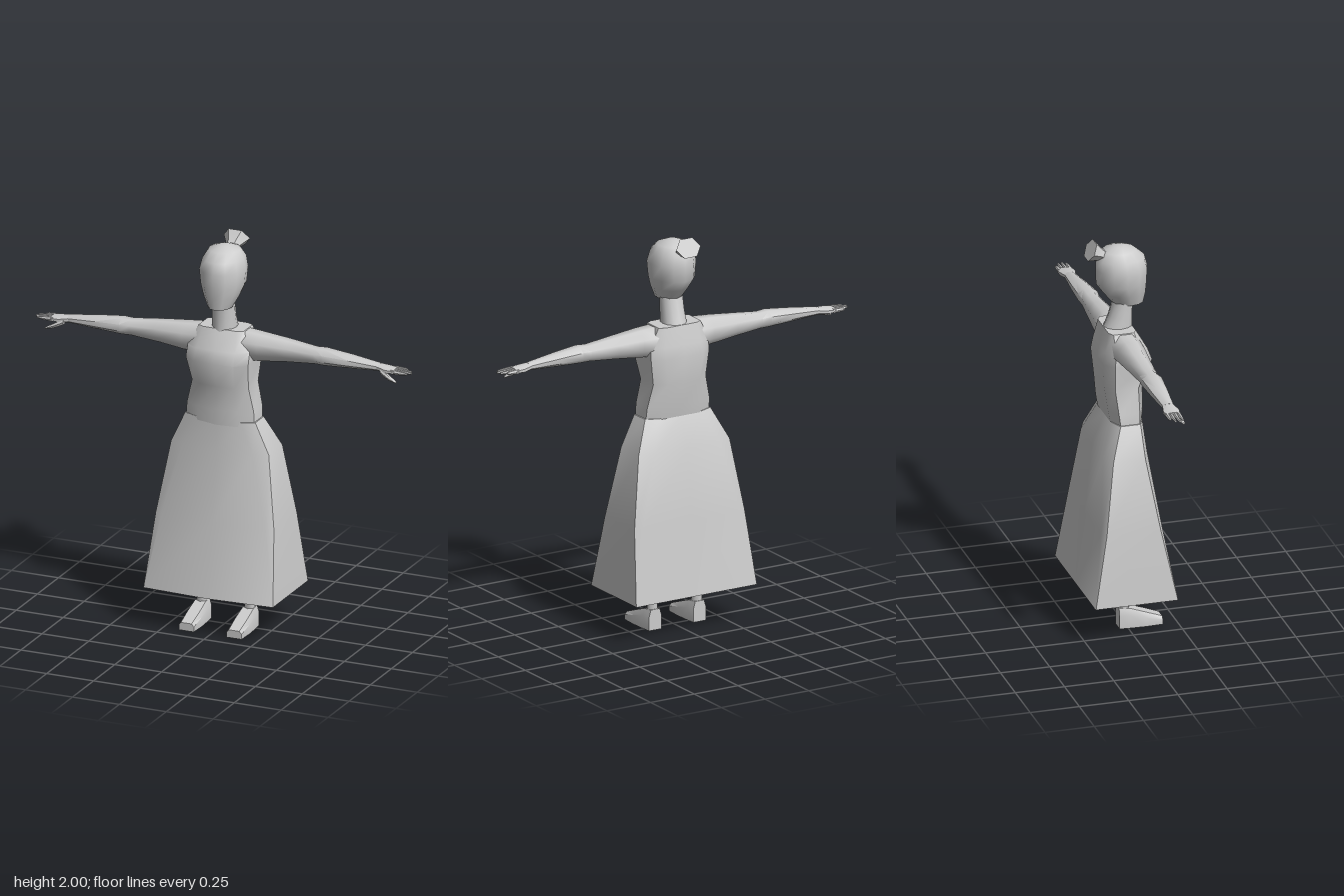
import * as THREE from 'three';
import { toCreasedNormals } from 'three/addons/utils/BufferGeometryUtils.js';

const V = (x, y, z) => new THREE.Vector3(x, y, z);

// Closed skin over a list of rings with equal point counts; winding is made outward.
function loft(rings, crease = 0.75) {
  const n = rings[0].length, tris = [];
  const centre = r => r.reduce((a, p) => a.add(p), V(0, 0, 0)).divideScalar(n);
  const first = rings[0], last = rings[rings.length - 1];
  const c0 = centre(first), c1 = centre(last);
  for (let j = 0; j < n; j++) {
    const k = (j + 1) % n;
    for (let i = 0; i < rings.length - 1; i++) {
      const a = rings[i], b = rings[i + 1];
      tris.push([a[j], a[k], b[k]], [a[j], b[k], b[j]]);
    }
    tris.push([c0, first[k], first[j]], [c1, last[j], last[k]]);
  }
  const mid = c0.clone().add(c1).multiplyScalar(0.5);
  let volume = 0;
  for (const [a, b, c] of tris) {
    volume += a.clone().sub(mid).dot(b.clone().sub(mid).cross(c.clone().sub(mid)));
  }
  const pos = [];
  for (const [a, b, c] of tris) {
    for (const p of volume > 0 ? [a, b, c] : [a, c, b]) pos.push(p.x, p.y, p.z);
  }
  const g = new THREE.BufferGeometry();
  g.setAttribute('position', new THREE.Float32BufferAttribute(pos, 3));
  return toCreasedNormals(g, crease);
}

// Level cross-section: a box with cut corners and an optional front bulge.
function boxRing(y, w, zf, zb, cut, bulge = 0) {
  const u = w * (1 - cut), d = (zf - zb) * 0.5 * cut;
  return [
    V(0, y, zf + bulge), V(u, y, zf), V(w, y, zf - d), V(w, y, zb + d), V(u, y, zb),
    V(0, y, zb), V(-u, y, zb), V(-w, y, zb + d), V(-w, y, zf - d), V(-u, y, zf),
  ];
}

// Level oval cross-section.
function ovalRing(y, w, zf, zb, cx = 0, n = 12) {
  return Array.from({ length: n }, (_, i) => {
    const a = (i / n) * Math.PI * 2;
    return V(cx + w * Math.sin(a), y, (zf + zb) / 2 + ((zf - zb) / 2) * Math.cos(a));
  });
}

// Upright cross-section at x, used along the arm and fingers.
function armRing(s, x, top, bottom, zf, zb, n = 8) {
  return Array.from({ length: n }, (_, i) => {
    const a = ((i + 0.5) / n) * Math.PI * 2, k = 1 / Math.cos(Math.PI / n);
    return V(s * x, (top + bottom) / 2 + ((top - bottom) / 2) * k * Math.cos(a),
      (zf + zb) / 2 + ((zf - zb) / 2) * k * Math.sin(a));
  });
}

export function createModel() {
  const group = new THREE.Group();
  const grey = new THREE.MeshStandardMaterial({ color: 0xcccccc });
  grey.name = 'plain grey';
  const add = (name, geometry, parent = group) => {
    const mesh = new THREE.Mesh(geometry, grey);
    mesh.name = name;
    parent.add(mesh);
  };

  // Skirt: cut corners at the waist run out to a square hem
  add('skirt', loft([
    boxRing(0.2, 0.345, 0.2, -0.22, 0.01, 0.018),
    boxRing(0.57, 0.315, 0.138, -0.172, 0.12, 0.014),
    boxRing(0.93, 0.26, 0.09, -0.135, 0.28, 0.01),
    boxRing(1.085, 0.187, 0.083, -0.072, 0.35, 0.01),
  ]));

  // Torso
  add('torso', loft([
    boxRing(1.06, 0.182, 0.085, -0.07, 0.4, 0.01),
    boxRing(1.14, 0.178, 0.09, -0.085, 0.4, 0.01),
    boxRing(1.26, 0.15, 0.095, -0.1, 0.4, 0.006),
    boxRing(1.39, 0.166, 0.138, -0.11, 0.35, 0.007),
    boxRing(1.45, 0.165, 0.115, -0.1, 0.38, 0.005),
    boxRing(1.545, 0.12, 0.06, -0.078, 0.25),
  ], 0.9));

  // Neck, leaning forward from the shoulders
  add('neck', loft([
    ovalRing(1.53, 0.063, 0.068, -0.082),
    ovalRing(1.6, 0.06, 0.068, -0.052),
    ovalRing(1.69, 0.06, 0.068, -0.025),
  ], 0.9));

  // Head
  add('head', loft([
    ovalRing(1.662, 0.06, 0.125, -0.027),
    ovalRing(1.72, 0.089, 0.137, -0.075),
    ovalRing(1.775, 0.109, 0.142, -0.115),
    ovalRing(1.85, 0.117, 0.145, -0.117),
    ovalRing(1.905, 0.104, 0.13, -0.115),
    ovalRing(1.945, 0.08, 0.085, -0.08),
    ovalRing(1.965, 0.025, 0.03, -0.025),
  ], 0.9));

  // Hair bun: six-sided flare tilted up and back
  const bunRing = (y, z, rx, ry) => Array.from({ length: 6 }, (_, i) => {
    const a = (i / 6) * Math.PI * 2, t = (ry * Math.sin(a)) / 0.866;
    return V(rx * Math.cos(a), y + 0.88 * t, z + 0.47 * t);
  });
  add('hairBun', loft([
    bunRing(1.915, -0.07, 0.035, 0.026),
    bunRing(1.932, -0.096, 0.038, 0.028),
    bunRing(1.957, -0.143, 0.07, 0.048),
  ], 0.6));

  for (const s of [1, -1]) {
    const side = s > 0 ? 'left' : 'right';

    // Arm
    const arm = new THREE.Group();
    arm.name = side + 'Arm';
    group.add(arm);
    add('sleeve', loft([
      armRing(s, 0.09, 1.543, 1.39, 0.075, -0.075),
      armRing(s, 0.2, 1.535, 1.4, 0.072, -0.065),
      armRing(s, 0.34, 1.522, 1.415, 0.058, -0.053),
      armRing(s, 0.49, 1.505, 1.427, 0.05, -0.04),
      armRing(s, 0.54, 1.508, 1.427, 0.057, -0.043),
      armRing(s, 0.68, 1.493, 1.432, 0.045, -0.036),
      armRing(s, 0.83, 1.473, 1.438, 0.03, -0.024),
    ], 0.9), arm);

    // Hand
    add('palm', loft([
      armRing(s, 0.82, 1.473, 1.438, 0.03, -0.024),
      armRing(s, 0.87, 1.468, 1.432, 0.044, -0.036),
      armRing(s, 0.915, 1.462, 1.437, 0.04, -0.036),
    ], 0.9), arm);
    [[0.031, 0.985], [0.012, 1], [-0.008, 0.992], [-0.027, 0.965]].forEach(([z, tip], i) => {
      add('finger' + (i + 1), loft([
        armRing(s, 0.9, 1.46, 1.439, z + 0.009, z - 0.009, 6),
        armRing(s, 0.95, 1.457, 1.44, z + 0.008, z - 0.008, 6),
        armRing(s, tip, 1.453, 1.444, z + 0.005, z - 0.005, 6),
      ], 0.9), arm);
    });
    add('thumb', loft([
      armRing(s, 0.845, 1.457, 1.43, 0.04, 0.015, 6),
      armRing(s, 0.895, 1.432, 1.41, 0.055, 0.033, 6),
      armRing(s, 0.935, 1.41, 1.401, 0.056, 0.044, 6),
    ], 0.9), arm);

    // Leg below the hem
    add(side + 'Leg', loft([
      ovalRing(0.22, 0.034, 0.034, -0.046, s * 0.127, 8),
      ovalRing(0.13, 0.027, 0.016, -0.04, s * 0.127, 8),
      ovalRing(0.08, 0.03, 0.014, -0.04, s * 0.127, 8),
    ], 0.9));

    // Foot: sections from heel to toe
    const footRing = (z, w, top) => [
      [-w, 0], [w, 0], [w, top * 0.65], [w * 0.7, top], [-w * 0.7, top], [-w, top * 0.65],
    ].map(([x, y]) => V(s * 0.127 + x, y, z));
    add(side + 'Foot', loft([
      footRing(-0.043, 0.036, 0.105),
      footRing(0.012, 0.041, 0.1),
      footRing(0.09, 0.044, 0.072),
      footRing(0.175, 0.04, 0.04),
    ], 0.7));
  }
  return group;
}
